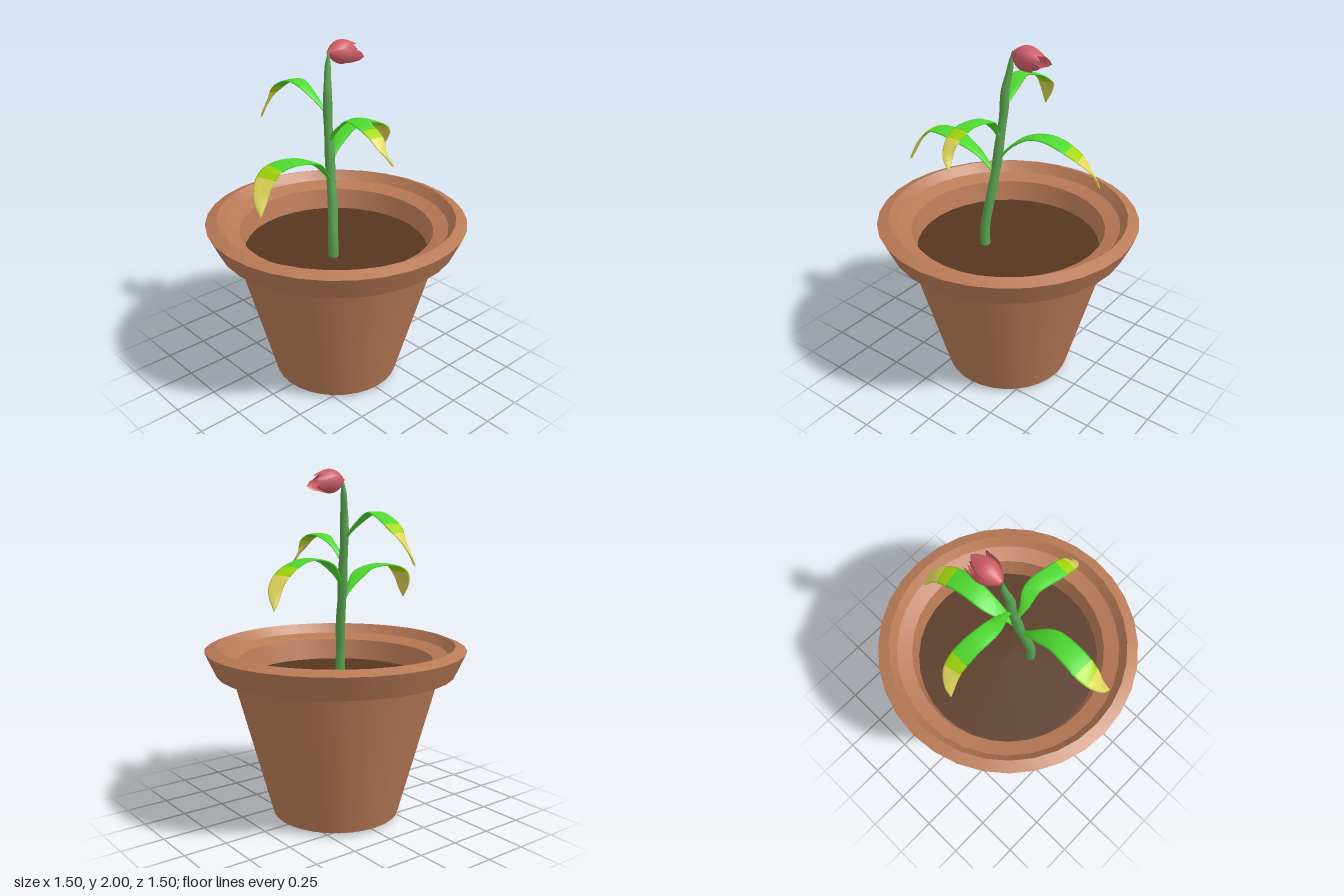
import * as THREE from 'three';
import { toCreasedNormals } from 'three/addons/utils/BufferGeometryUtils.js';

const paint = (color, side = THREE.FrontSide) => new THREE.MeshStandardMaterial({ color, side });
const clay = paint(0xb97a56), earth = paint(0x57361f), stalk = paint(0x5aa350);
const green = paint(0x4fd930), lime = paint(0xa4d80a), yellow = paint(0xe0d85a);
const pink = paint(0xcd5c66, THREE.DoubleSide);

function add(parent, name, geometry, material) {
  const mesh = new THREE.Mesh(geometry, material);
  mesh.name = name;
  parent.add(mesh);
  return mesh;
}

// Linear lookup in a list of evenly spaced values
function sample(list, u) {
  const f = Math.min(u, 0.99999) * (list.length - 1), i = Math.floor(f);
  return THREE.MathUtils.lerp(list[i], list[i + 1], f - i);
}

// Elliptical tube along a curve between u0 and u1, with varying half width and half thickness
function sweep(curve, u0, u1, rows, widths, thickness, ref) {
  const sides = 10, pos = [], idx = [];
  for (let i = 0; i <= rows; i++) {
    const u = THREE.MathUtils.lerp(u0, u1, i / rows);
    const c = curve.getPointAt(u), t = curve.getTangentAt(u);
    const side = new THREE.Vector3().crossVectors(t, ref).normalize();
    const normal = new THREE.Vector3().crossVectors(side, t);
    const w = sample(widths, u), h = thickness ? Math.min(w, thickness) : w;
    for (let j = 0; j < sides; j++) {
      const a = (j / sides) * Math.PI * 2;
      const p = c.clone().addScaledVector(side, Math.cos(a) * w).addScaledVector(normal, Math.sin(a) * h);
      pos.push(p.x, p.y, p.z);
      if (i === rows) continue;
      const k = (j + 1) % sides, r = i * sides, n = r + sides;
      idx.push(r + j, n + j, r + k, r + k, n + j, n + k);
    }
  }
  const g = new THREE.BufferGeometry();
  g.setAttribute('position', new THREE.Float32BufferAttribute(pos, 3));
  g.setIndex(idx);
  g.computeVertexNormals();
  return g;
}

const curveOf = (pts) => new THREE.CatmullRomCurve3(pts.map((p) => new THREE.Vector3(...p)));

// Arching leaf in three colour bands
function makeLeaf(name, pts, scale) {
  const leaf = new THREE.Group(), curve = curveOf(pts), up = new THREE.Vector3(0, 1, 0);
  leaf.name = name;
  const widths = [0.012, 0.015, 0.028, 0.042, 0.05, 0.053, 0.055, 0.057, 0.056, 0.05, 0.038, 0.024, 0.001]
    .map((w) => w * scale);
  const bands = [['leafBlade', 0, 0.63, 16, green], ['leafBand', 0.63, 0.73, 4, lime], ['leafTip', 0.73, 1, 12, yellow]];
  for (const [part, a, b, rows, mat] of bands) add(leaf, part, sweep(curve, a, b, rows, widths, 0.007, up), mat);
  return leaf;
}

// Curved petal wrapped around the flower axis (+y)
function petal(angle, half, length, size, flare) {
  const n = 10, g = new THREE.PlaneGeometry(1, 1, n, n), p = g.attributes.position;
  const radii = [0.012, 0.035, 0.054, 0.064, 0.066, 0.062, 0.054, 0.045, 0.036];
  for (let i = 0; i < p.count; i++) {
    const s = p.getX(i) * 2, t = p.getY(i) + 0.5;
    const a = angle + s * half * Math.sqrt(1 - t ** 3);
    const r = sample(radii, t) * size + flare * t ** 3;
    p.setXYZ(i, Math.cos(a) * r, length * t, Math.sin(a) * r);
  }
  g.computeVertexNormals();
  return g;
}

export function createModel() {
  const model = new THREE.Group();
  model.name = 'pottedFlower';

  // Pot with a wide rim and a stepped inside
  const profile = [[0, 0], [0.37, 0.02], [0.6, 0.865], [0.688, 0.865], [0.75, 1.0], [0.685, 1.025],
    [0.645, 0.97], [0.56, 0.94], [0.53, 0.81]].map(([x, y]) => new THREE.Vector2(x, y));
  add(model, 'pot', toCreasedNormals(new THREE.LatheGeometry(profile, 32), 0.35), clay);
  const soil = add(model, 'soil', new THREE.CircleGeometry(0.535, 32), earth);
  soil.rotation.x = -Math.PI / 2;
  soil.position.y = 0.82;

  // Stem leaning back as it rises
  const stem = curveOf([[0.09, 0.8, 0.1], [0.085, 0.95, 0.1], [0.06, 1.12, 0.08], [0.025, 1.3, 0.065],
    [0.005, 1.45, 0.055], [-0.02, 1.62, 0.045], [-0.025, 1.74, 0.04], [-0.045, 1.86, 0.022], [-0.05, 1.96, 0.01]]);
  const radii = [0.03, 0.03, 0.029, 0.029, 0.029, 0.028, 0.026, 0.029, 0.029, 0.026, 0.024, 0.027, 0.025, 0.02, 0.017, 0.001];
  add(model, 'stem', sweep(stem, 0, 1, 40, radii, 0, new THREE.Vector3(0, 0, 1)), stalk);

  // Four leaves
  model.add(
    makeLeaf('rightLeaf', [[-0.02, 1.62, 0.045], [-0.12, 1.71, 0.065], [-0.22, 1.77, 0.083], [-0.35, 1.74, 0.07],
      [-0.45, 1.67, 0.068], [-0.5, 1.59, 0.09], [-0.53, 1.5, 0.12]], 0.95),
    makeLeaf('leftLeaf', [[0, 1.46, 0.055], [0.06, 1.55, 0.055], [0.14, 1.62, 0.035], [0.28, 1.63, 0.058],
      [0.38, 1.59, 0.065], [0.43, 1.53, 0.06], [0.47, 1.45, 0.025]], 0.88),
    makeLeaf('frontLeaf', [[0.03, 1.26, 0.07], [0.05, 1.37, 0.17], [0.072, 1.43, 0.27], [0.065, 1.45, 0.4],
      [0.06, 1.43, 0.5], [0.08, 1.36, 0.575], [0.13, 1.23, 0.63]], 1.2),
    makeLeaf('backLeaf', [[0.015, 1.34, 0.06], [-0.01, 1.43, -0.01], [-0.04, 1.5, -0.11], [-0.05, 1.52, -0.23],
      [-0.065, 1.48, -0.36], [-0.095, 1.4, -0.46], [-0.145, 1.27, -0.51]], 1.12),
  );

  // Flower head: inner and outer petals, the outer ones opening at their tips
  const flower = new THREE.Group();
  flower.name = 'flower';
  for (let i = 0; i < 3; i++) {
    const a = Math.PI / 2 + (i * Math.PI * 2) / 3;
    add(flower, 'innerPetal', petal(a + Math.PI / 3, 1.0, 0.19, 0.88, -0.005), pink);
    add(flower, 'outerPetal', petal(a, 0.95, 0.2, 1, 0), pink);
  }
  add(flower, 'openPetal', petal(-0.25, 0.6, 0.19, 1.04, 0.045), pink);
  add(flower, 'openPetal', petal(Math.PI + 0.3, 0.6, 0.215, 1.06, 0.02), pink);
  flower.rotation.x = -Math.PI / 2 - 0.08;
  flower.position.set(-0.053, 1.945, 0.01);
  model.add(flower);

  return model;
}
